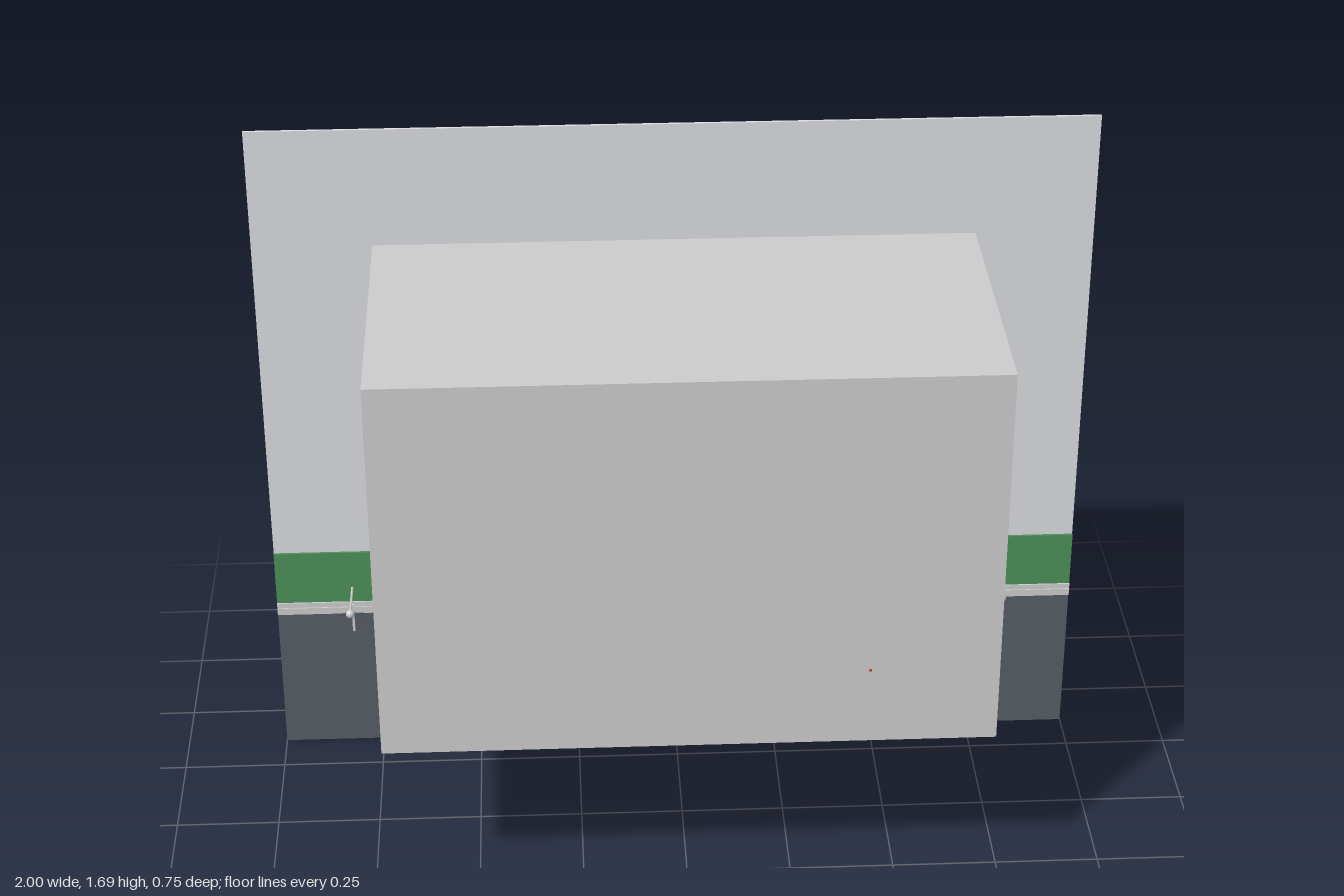
import * as THREE from 'three';

const mat = (color) => new THREE.MeshStandardMaterial({ color });

export function createModel() {
  const group = new THREE.Group();
  const grey = mat(0xcccccc), pale = mat(0xdadbe0), dark = mat(0x575d66);
  const green = mat(0x4c9058), red = mat(0xd03020);

  const add = (name, geometry, material, x, y, z, parent = group) => {
    const mesh = new THREE.Mesh(geometry, material);
    mesh.name = name;
    mesh.position.set(x, y, z);
    parent.add(mesh);
    return mesh;
  };
  // Box given by its limits on each axis
  const slab = (name, material, [x0, x1], [y0, y1], [z0, z1], parent) =>
    add(name, new THREE.BoxGeometry(x1 - x0, y1 - y0, z1 - z0), material,
      (x0 + x1) / 2, (y0 + y1) / 2, (z0 + z1) / 2, parent);

  // Layered sheets of the wall
  slab('backPanel', pale, [-1, 1], [0.17, 1.69], [-0.376, -0.369]);
  slab('lowerPanel', dark, [-1, 1], [0, 0.385], [-0.367, -0.361]);
  slab('greenStrip', green, [-1, 1], [0.385, 0.557], [-0.367, -0.361]);

  // Rail with two stepped bands
  slab('railBase', grey, [-1, 1], [0.382, 0.415], [-0.367, -0.357]);
  slab('railLip', grey, [-1, 1], [0.39, 0.402], [-0.357, -0.354]);

  // Thin-walled hood, open underneath
  const hood = new THREE.Group();
  hood.name = 'hood';
  group.add(hood);
  const X = 0.713, y0 = 0.455, y1 = 1.405, zb = -0.348, zf = 0.376, t = 0.008;
  slab('hoodTop', grey, [-X, X], [y1 - t, y1], [zb, zf], hood);
  slab('hoodFront', grey, [-X, X], [y0, y1 - t], [zf - t, zf], hood);
  slab('hoodBack', grey, [-X, X], [y0, y1 - t], [zb, zb + t], hood);
  for (const s of [-1, 1]) {
    const inner = s * (X - t), outer = s * X;
    slab('hoodSide', grey, [Math.min(inner, outer), Math.max(inner, outer)],
      [y0, y1 - t], [zb + t, zf - t], hood);
  }
  slab('indicator', red, [0.411, 0.417], [0.646, 0.652], [zf, zf + 0.001], hood);

  // Ball-ended pegs along the wall
  for (const x of [-0.81, -0.43, 0, 0.43, 0.81]) {
    const peg = new THREE.Group();
    peg.name = 'peg';
    peg.position.set(x, 0.455, 0);
    group.add(peg);
    const rod = add('pegRod', new THREE.CylinderGeometry(0.003, 0.003, 0.125, 10), grey, 0, 0, -0.3, peg);
    rod.rotation.x = Math.PI / 2;
    add('pegBall', new THREE.SphereGeometry(0.011, 16, 12), grey, 0, 0, -0.237, peg);
  }

  // Small clip hanging from the rail
  const clip = new THREE.Group();
  clip.name = 'clip';
  group.add(clip);
  slab('clipBar', dark, [-0.838, -0.785], [0.372, 0.384], [-0.361, -0.353], clip);
  slab('clipStem', grey, [-0.814, -0.808], [0.332, 0.41], [-0.359, -0.352], clip);
  for (const x of [-0.826, -0.796])
    slab('clipProng', dark, [x - 0.003, x + 0.003], [0.35, 0.374], [-0.361, -0.354], clip);

  return group;
}
